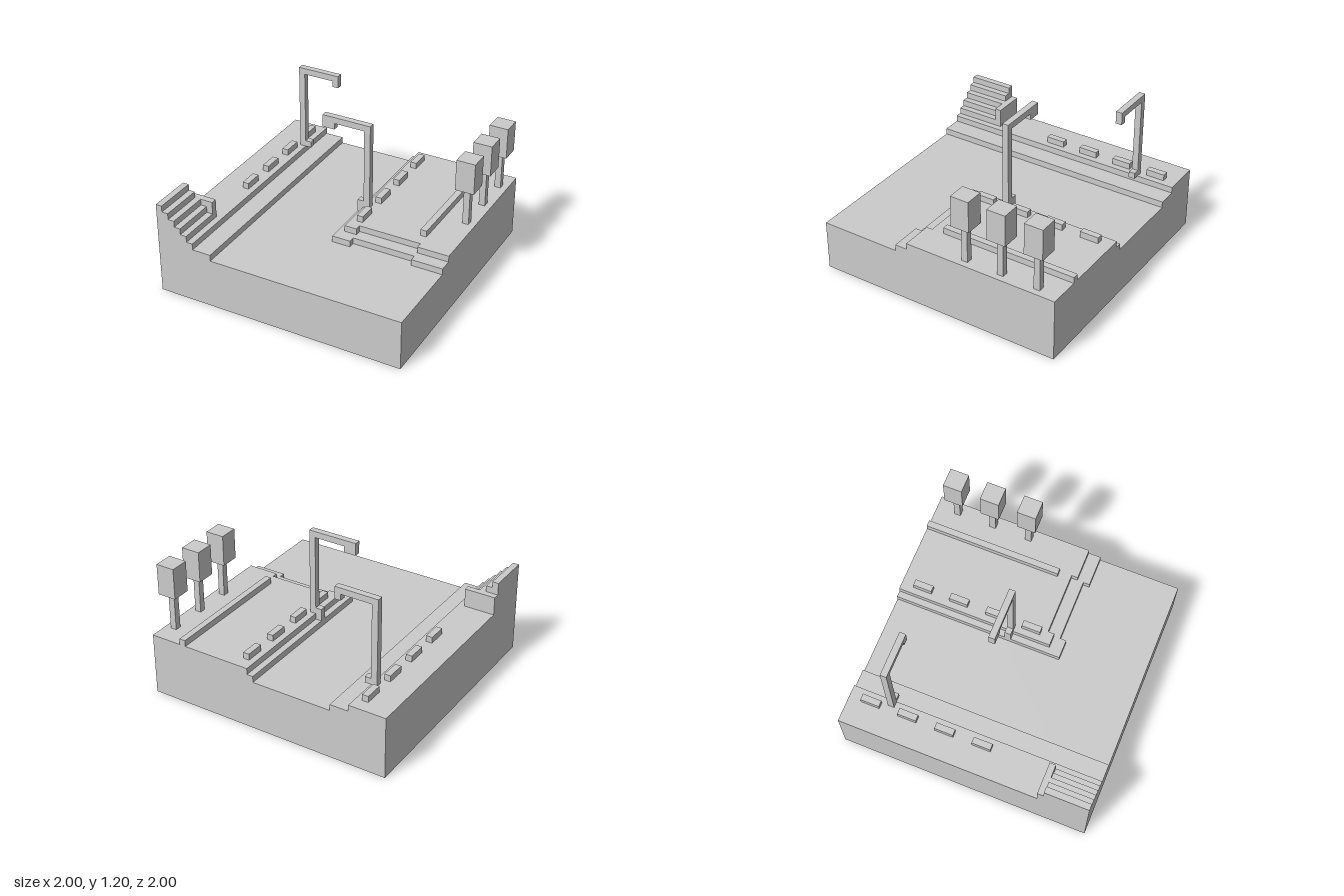
import * as THREE from 'three';

const grey = new THREE.MeshStandardMaterial({ color: 0xcccccc, flatShading: true });

// Box given by its min and max along each axis
function block(parent, name, [x0, x1], [y0, y1], [z0, z1]) {
  const mesh = new THREE.Mesh(new THREE.BoxGeometry(x1 - x0, y1 - y0, z1 - z0), grey);
  mesh.position.set((x0 + x1) / 2, (y0 + y1) / 2, (z0 + z1) / 2);
  mesh.name = name;
  parent.add(mesh);
}

// Plan outline of [x, z] corners raised from y0 to y1
function slab(parent, name, points, y0, y1, holes = []) {
  const path = (p) => p.map(([x, z]) => new THREE.Vector2(x, -z));
  const shape = new THREE.Shape(path(points));
  for (const h of holes) shape.holes.push(new THREE.Path(path(h)));
  const geometry = new THREE.ExtrudeGeometry(shape, { depth: y1 - y0, bevelEnabled: false });
  geometry.rotateX(-Math.PI / 2).translate(0, y0, 0);
  const mesh = new THREE.Mesh(geometry, grey);
  mesh.name = name;
  parent.add(mesh);
}

const rect = (x0, x1, z0, z1) => [[x0, z0], [x1, z0], [x1, z1], [x0, z1]];

function group(parent, name) {
  const g = new THREE.Group();
  g.name = name;
  parent.add(g);
  return g;
}

export function createModel() {
  const model = new THREE.Group();
  model.name = 'streetCorner';

  // Ground with two small recesses underneath
  slab(model, 'groundUnderside', rect(-1, 1, -1, 1), 0, 0.05,
    [rect(0.75, 0.85, 0.4, 0.45), rect(0.3, 0.35, 0.5, 0.95)]);
  block(model, 'ground', [-1, 1], [0.05, 0.4], [-1, 1]);

  // Stepped pavement along the right side
  block(model, 'rightPavementStep', [-1, -0.55], [0.4, 0.45], [-1, 1]);
  block(model, 'rightPavement', [-1, -0.7], [0.45, 0.5], [-1, 1]);

  // Stepped pavement of the left block, with a shallow setback at the crossing
  const plan = (x, z) => [[x, -1], [1, -1], [1, z], [0.75, z], [0.75, z - 0.05],
    [0.25, z - 0.05], [0.25, z], [x, z]];
  slab(model, 'leftPavementStep', plan(0.1, 0.35), 0.4, 0.45);
  slab(model, 'leftPavement', plan(0.15, 0.25), 0.45, 0.5);
  block(model, 'lowWall', [0.7, 0.75], [0.5, 0.55], [-1, 0.1]);

  // Rows of low bollard blocks
  for (const x of [-0.8, 0.2]) {
    const row = group(model, 'kerbBlocks');
    for (let i = 0; i < 4; i++) {
      const z = -0.9 + i * 0.3;
      block(row, 'kerbBlock', [x, x + 0.05], [0.5, 0.55], [z, z + 0.15]);
    }
  }

  // Trees
  for (const z of [-0.9, -0.6, -0.3]) {
    const tree = group(model, 'tree');
    block(tree, 'trunk', [0.9, 0.95], [0.5, 0.8], [z + 0.05, z + 0.1]);
    block(tree, 'crown', [0.85, 1], [0.8, 1.05], [z, z + 0.15]);
  }

  // Street lamps reaching over the road
  const right = group(model, 'rightStreetLamp'), rz = [-0.7, -0.65];
  block(right, 'foot', [-0.7, -0.65], [0.5, 0.55], rz);
  block(right, 'post', [-0.75, -0.7], [0.5, 1.15], rz);
  block(right, 'arm', [-0.75, -0.4], [1.15, 1.2], rz);
  block(right, 'lampHead', [-0.45, -0.4], [1.1, 1.15], rz);

  const left = group(model, 'leftStreetLamp'), lz = [-0.1, -0.05];
  block(left, 'foot', [0.1, 0.15], [0.45, 0.55], lz);
  block(left, 'post', [0.15, 0.2], [0.5, 1.15], lz);
  block(left, 'arm', [-0.2, 0.2], [1.15, 1.2], lz);
  block(left, 'lampHead', [-0.2, -0.1], [1.1, 1.15], lz);

  // Stairs with a side wall at the front right corner
  const stairs = group(model, 'stairs');
  for (let i = 0; i < 5; i++) {
    const x = -1 + i * 0.05;
    block(stairs, 'step', [x, x + 0.05], [0.5, 0.75 - i * 0.05], [0.65, 1]);
  }
  block(stairs, 'sideWall', [-1, -0.75], [0.5, 0.65], [0.6, 0.65]);

  return model;
}
